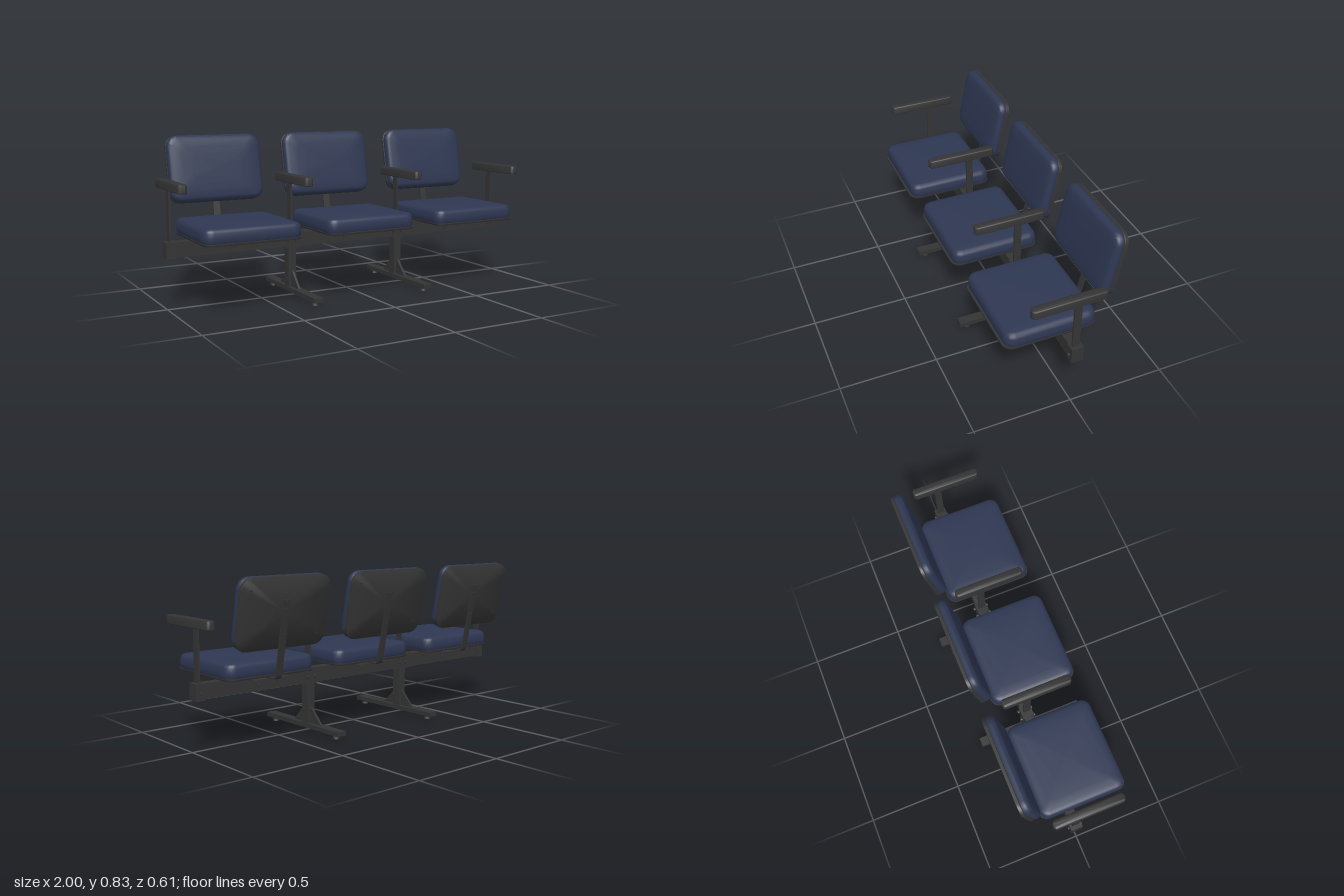
import * as THREE from 'three';
import { toCreasedNormals } from 'three/addons/utils/BufferGeometryUtils.js';

const navy = new THREE.MeshStandardMaterial({ color: 0x2e3752 });
navy.name = 'navyUpholstery';
const charcoal = new THREE.MeshStandardMaterial({ color: 0x343434 });
charcoal.name = 'charcoalMetal';

const BEAM_Z = -0.021;

function add(parent, name, geometry, material, x = 0, y = 0, z = 0) {
  const mesh = new THREE.Mesh(geometry, material);
  mesh.name = name;
  mesh.position.set(x, y, z);
  parent.add(mesh);
  return mesh;
}

function box(parent, name, w, h, d, x, y, z) {
  return add(parent, name, new THREE.BoxGeometry(w, h, d), charcoal, x, y, z);
}

// Rounded rectangle lofted upwards through [inset, height] rings
function pad(w, d, radius, rings) {
  const steps = 8, count = 4 * (steps + 1), pos = [], index = [];
  for (const [inset, y] of rings) {
    const r = Math.max(radius - inset, radius * 0.4);
    for (let c = 0; c < 4; c++) {
      const cx = (w / 2 - inset - r) * (c === 0 || c === 3 ? 1 : -1);
      const cz = (d / 2 - inset - r) * (c < 2 ? 1 : -1);
      for (let s = 0; s <= steps; s++) {
        const a = (c + s / steps) * Math.PI / 2;
        pos.push(cx + r * Math.cos(a), y, cz + r * Math.sin(a));
      }
    }
  }
  const last = rings.length - 1, bottom = rings.length * count, top = bottom + 1;
  pos.push(0, rings[0][1], 0, 0, rings[last][1], 0);
  for (let i = 0; i < count; i++) {
    const j = (i + 1) % count, t = last * count;
    for (let k = 0; k < last; k++) {
      const a = k * count, b = a + count;
      index.push(a + i, b + i, a + j, b + i, b + j, a + j);
    }
    index.push(bottom, i, j, top, t + j, t + i);
  }
  const g = new THREE.BufferGeometry();
  g.setAttribute('position', new THREE.Float32BufferAttribute(pos, 3));
  g.setIndex(index);
  return toCreasedNormals(g, 0.7);
}

// Side profile given as [z, y], extruded along x and centred
function sidePlate(points, width) {
  const shape = new THREE.Shape(points.map(([z, y]) => new THREE.Vector2(z, y)));
  return new THREE.ExtrudeGeometry(shape, { depth: width, bevelEnabled: false })
    .rotateY(-Math.PI / 2).translate(width / 2, 0, 0);
}

// Bolt with its axis along z
function bolt(parent, x, y, z, r = 0.008, length = 0.01) {
  const g = new THREE.CylinderGeometry(r, r, length, 12).rotateX(Math.PI / 2);
  add(parent, 'bolt', g, charcoal, x, y, z);
}

// Bent flat bar from under the seat up the back of the backrest
function backBarGeometry() {
  const path = new THREE.CurvePath();
  const v = (z, y) => new THREE.Vector2(z, y);
  path.add(new THREE.LineCurve(v(-0.09, 0.339), v(-0.192, 0.339)));
  path.add(new THREE.QuadraticBezierCurve(v(-0.192, 0.339), v(-0.209, 0.339), v(-0.214, 0.362)));
  path.add(new THREE.LineCurve(v(-0.214, 0.362), v(-0.287, 0.722)));
  const outer = [], inner = [];
  for (const [c, n] of [[0, 1], [1, 8], [2, 1]]) {
    for (let i = c === 1 ? 1 : 0; i <= n; i++) {
      if (c === 2 && i === 0) continue;
      const p = path.curves[c].getPoint(i / n), t = path.curves[c].getTangent(i / n);
      outer.push([p.x - t.y * 0.004, p.y + t.x * 0.004]);
      inner.unshift([p.x + t.y * 0.004, p.y - t.x * 0.004]);
    }
  }
  return toCreasedNormals(sidePlate([...outer, ...inner], 0.036), 0.5);
}

function makeSeat(x) {
  const seat = new THREE.Group();
  seat.name = 'seat';
  seat.position.x = x;

  // Seat cushion on its pan
  add(seat, 'seatPan', pad(0.506, 0.479, 0.05, [[0.002, 0.347], [0, 0.35], [0, 0.357]]), charcoal, 0, 0, 0.062);
  add(seat, 'seatCushion', pad(0.51, 0.469, 0.05, [
    [0.006, 0.356], [0.001, 0.366], [0, 0.385], [0.002, 0.405], [0.006, 0.417],
    [0.015, 0.425], [0.03, 0.429], [0.07, 0.432], [0.14, 0.435],
  ]), navy, 0, 0, 0.06);

  // Mounting plate, spacers and beam clamp
  box(seat, 'mountPlate', 0.2, 0.006, 0.367, 0, 0.333, 0.023);
  for (const sx of [-0.08, 0.08]) for (const z of [0.16, -0.055])
    add(seat, 'spacer', new THREE.CylinderGeometry(0.01, 0.01, 0.014, 12), charcoal, sx, 0.341, z);
  for (const s of [-1, 1]) {
    box(seat, 'beamClamp', 0.036, 0.065, 0.005, 0, 0.302, BEAM_Z + s * 0.0275);
    bolt(seat, 0, 0.285, BEAM_Z + s * 0.033);
  }
  add(seat, 'backBar', backBarGeometry(), charcoal);

  // Tilted backrest: shell, cushion and screws
  const back = new THREE.Group();
  back.name = 'backrest';
  back.position.set(0, 0.488, -0.235);
  back.rotation.x = -0.2;
  seat.add(back);
  const upright = g => g.rotateX(Math.PI / 2).translate(0, 0.173, 0);
  add(back, 'backShell', upright(pad(0.51, 0.348, 0.06, [
    [0.004, 0], [0, 0.003], [0, 0.017], [0.003, 0.02],
  ])), charcoal);
  add(back, 'backCushion', upright(pad(0.508, 0.346, 0.06, [
    [0.004, 0.019], [0, 0.026], [0, 0.038], [0.004, 0.05], [0.012, 0.058],
    [0.026, 0.062], [0.07, 0.065], [0.12, 0.067],
  ])), navy);
  for (const sx of [-0.2, 0.2]) for (const y of [0.06, 0.29]) bolt(back, sx, y, -0.001, 0.005, 0.005);
  for (const y of [0.07, 0.19, 0.228]) bolt(back, 0, y, -0.01, 0.007, 0.008);
  return seat;
}

function makeArm(x) {
  const arm = new THREE.Group();
  arm.name = 'arm';
  arm.position.x = x;
  box(arm, 'armPost', 0.01, 0.262, 0.038, 0, 0.461, -0.02);
  add(arm, 'armrest', pad(0.046, 0.377, 0.018, [
    [0.003, 0.59], [0, 0.593], [0, 0.629], [0.002, 0.633], [0.006, 0.635],
  ]), charcoal, 0, 0, 0.028);
  return arm;
}

function makeLeg(x) {
  const leg = new THREE.Group();
  leg.name = 'leg';
  leg.position.x = x;
  box(leg, 'legPost', 0.044, 0.215, 0.048, 0, 0.147, BEAM_Z);
  box(leg, 'footRail', 0.05, 0.023, 0.598, 0, 0.031, 0.009);
  for (const s of [-1, 1]) {
    const at = d => BEAM_Z + s * d;
    const points = [[at(0.02), 0.04], [at(0.11), 0.04], [at(0.11), 0.044],
      [at(0.036), 0.12], [at(0.026), 0.126], [at(0.02), 0.126]];
    add(leg, 'gusset', sidePlate(points, 0.012), charcoal);
  }
  // Levelling feet
  for (const z of [0.265, -0.245]) {
    add(leg, 'footPad', new THREE.CylinderGeometry(0.015, 0.018, 0.011, 16), charcoal, 0, 0.0055, z);
    add(leg, 'footStem', new THREE.CylinderGeometry(0.008, 0.008, 0.015, 12), charcoal, 0, 0.015, z);
  }
  return leg;
}

export function createModel() {
  const bench = new THREE.Group();
  bench.name = 'beamSeating';

  // Main beam
  box(bench, 'beam', 1.98, 0.075, 0.05, 0, 0.294, BEAM_Z);

  for (const x of [-0.65, 0, 0.65]) bench.add(makeSeat(x));
  for (const x of [-0.975, -0.325, 0.325, 0.975]) bench.add(makeArm(x));
  for (const x of [-0.325, 0.325]) bench.add(makeLeg(x));

  // Sleeves around the beam, at the legs and the ends
  for (const s of [-1, 1]) {
    box(bench, 'legSleeve', 0.07, 0.083, 0.062, s * 0.325, 0.292, BEAM_Z);
    box(bench, 'endSleeve', 0.05, 0.083, 0.062, s * 0.975, 0.292, BEAM_Z);
    for (const f of [-1, 1]) {
      for (const dx of [-0.022, 0.022]) bolt(bench, s * 0.325 + dx, 0.287, BEAM_Z + f * 0.036, 0.009, 0.012);
      bolt(bench, s * 0.975, 0.287, BEAM_Z + f * 0.034);
    }
  }
  return bench;
}
